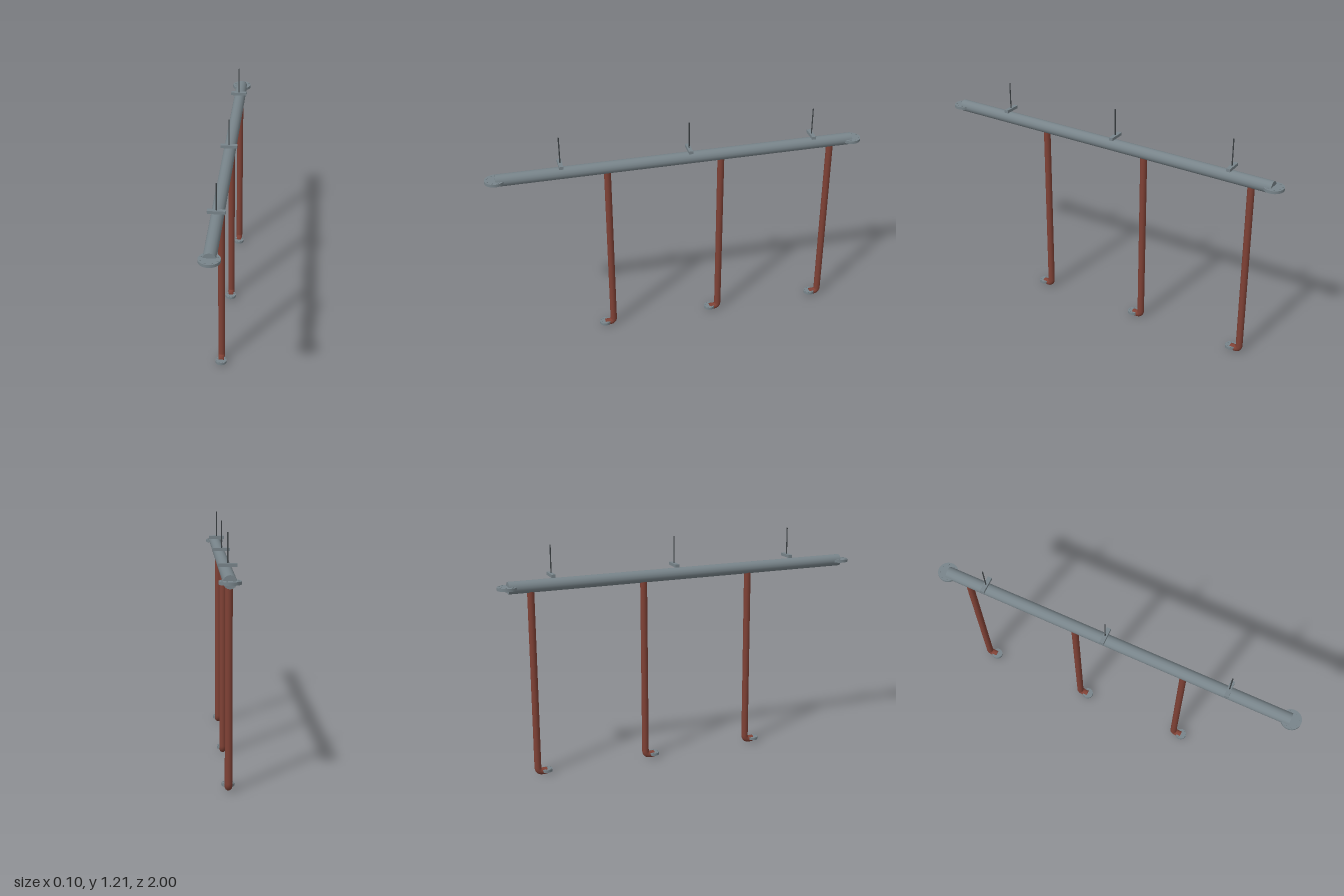
import * as THREE from 'three';

const steel = new THREE.MeshStandardMaterial({ color: 0x78848a });
steel.name = 'galvanised steel';
const paint = new THREE.MeshStandardMaterial({ color: 0x7f4135 });
paint.name = 'red oxide paint';
const dark = new THREE.MeshStandardMaterial({ color: 0x3f4447 });
dark.name = 'dark rod steel';

function add(parent, name, geometry, material, x = 0, y = 0, z = 0) {
  const mesh = new THREE.Mesh(geometry, material);
  mesh.name = name;
  mesh.position.set(x, y, z);
  parent.add(mesh);
  return mesh;
}

// Flat disc with a ring of small bolt heads
function flange(name, radius, thickness) {
  const group = new THREE.Group();
  group.name = name;
  add(group, 'flangeDisc', new THREE.CylinderGeometry(radius, radius, thickness, 24), steel);
  const bolt = new THREE.CylinderGeometry(radius * 0.1, radius * 0.1, thickness + 0.005, 6);
  for (let i = 0; i < 8; i++) {
    const a = (i + 0.5) * Math.PI / 4;
    add(group, 'flangeBolt', bolt, steel, Math.cos(a) * radius * 0.8, 0, Math.sin(a) * radius * 0.8);
  }
  return group;
}

// Vertical pipe with an elbow turning to the front at its foot
function dropPipe(z) {
  const group = new THREE.Group();
  group.name = 'dropPipe';
  const r = 0.018, bend = 0.024, top = 0.99;
  const straight = top - r - bend;
  add(group, 'riser', new THREE.CylinderGeometry(r, r, straight, 16), paint, 0, top - straight / 2, 0);
  const path = new THREE.CurvePath();
  const corner = new THREE.Vector3(0, r, 0);
  const start = new THREE.Vector3(0, r + bend, 0);
  const end = new THREE.Vector3(0, r, bend);
  path.add(new THREE.QuadraticBezierCurve3(start, corner, end));
  path.add(new THREE.LineCurve3(end, new THREE.Vector3(0, r, 0.048)));
  add(group, 'elbow', new THREE.TubeGeometry(path, 14, r, 16), paint);
  // Closed outlet
  add(group, 'outletCap', new THREE.CircleGeometry(r, 16), paint, 0, r, 0.048);
  const foot = flange('outletFlange', 0.03, 0.014);
  foot.position.set(0, 0.021, 0.048);
  group.add(foot);
  group.position.z = z;
  return group;
}

// Cross bar hung from a thin rod
function hanger(z) {
  const group = new THREE.Group();
  group.name = 'hanger';
  add(group, 'hangerBar', new THREE.BoxGeometry(0.088, 0.016, 0.022), steel, 0, 1.059, 0);
  add(group, 'hangerRod', new THREE.CylinderGeometry(0.0032, 0.0032, 0.15, 8), dark, 0, 1.135, 0);
  group.position.z = z;
  return group;
}

export function createModel() {
  const model = new THREE.Group();
  model.name = 'pipeRun';

  // Main header pipe
  const header = new THREE.CylinderGeometry(0.032, 0.032, 1.89, 16);
  add(model, 'headerPipe', header, steel, 0, 1.009, 0).rotation.x = Math.PI / 2;
  for (const side of [-1, 1]) {
    const end = flange('headerFlange', 0.052, 0.015);
    end.position.set(0, 1.008, side * 0.947);
    model.add(end);
  }

  for (const z of [0.376, -0.227, -0.83]) model.add(dropPipe(z));
  for (const z of [0.615, -0.055, -0.722]) model.add(hanger(z));
  return model;
}
